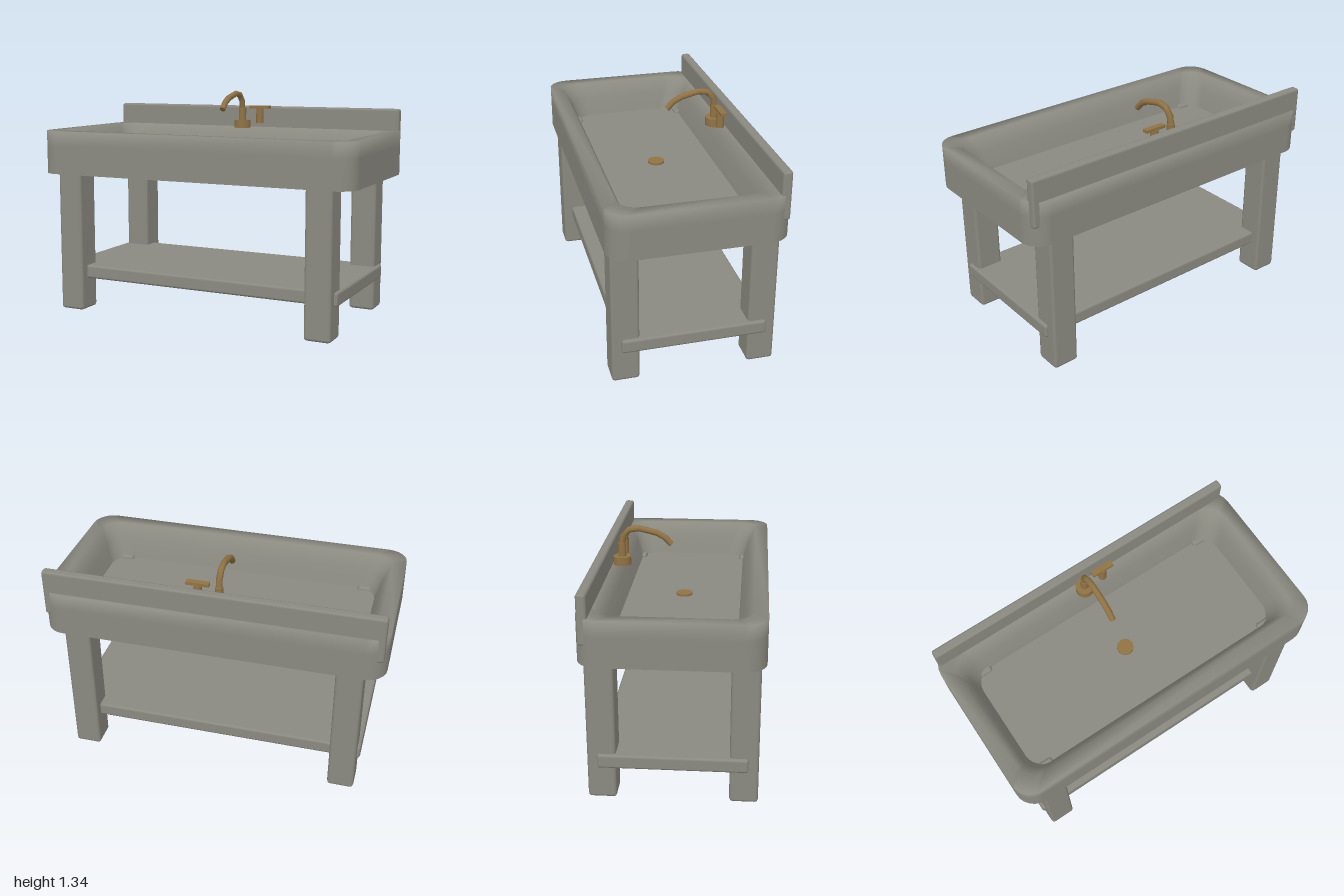
import * as THREE from 'three';
import { RoundedBoxGeometry } from 'three/addons/geometries/RoundedBoxGeometry.js';

const stone = new THREE.MeshStandardMaterial({ color: 0x8b8a81 });
const brass = new THREE.MeshStandardMaterial({ color: 0x907345 });

function add(parent, name, geometry, material, x = 0, y = 0, z = 0) {
  const mesh = new THREE.Mesh(geometry, material);
  mesh.name = name;
  mesh.position.set(x, y, z);
  parent.add(mesh);
  return mesh;
}

// Rounded rectangle outline as plan points, counterclockwise from above
function outline(inset, radius, steps = 6) {
  const points = [];
  const cx = 1 - inset - radius, cz = 0.5 - inset - radius;
  const corners = [[1, 1], [-1, 1], [-1, -1], [1, -1]];
  corners.forEach(([sx, sy], q) => {
    for (let i = 0; i <= steps; i++) {
      const a = (q + i / steps) * Math.PI / 2;
      points.push(new THREE.Vector2(sx * cx + radius * Math.cos(a), sy * cz + radius * Math.sin(a)));
    }
  });
  return points;
}

// Smooth skin through stacked outlines: [inset, height, corner radius]
function loft(profile) {
  const positions = [], indices = [];
  const n = outline(0, 0.1).length;
  profile.forEach(([inset, y, radius], i) => {
    outline(inset, radius).forEach((p, j) => {
      positions.push(p.x, y, -p.y);
      if (i === profile.length - 1) return;
      const a = i * n + j, b = i * n + (j + 1) % n;
      indices.push(a, b, b + n, a, b + n, a + n);
    });
  });
  const geometry = new THREE.BufferGeometry();
  geometry.setAttribute('position', new THREE.Float32BufferAttribute(positions, 3));
  geometry.setIndex(indices);
  geometry.computeVertexNormals();
  return geometry;
}

function plate(inset, radius, faceUp) {
  const geometry = new THREE.ShapeGeometry(new THREE.Shape(outline(inset, radius)));
  return geometry.rotateX(faceUp ? -Math.PI / 2 : Math.PI / 2);
}

function createBasin() {
  const basin = new THREE.Group();
  basin.name = 'basin';
  add(basin, 'basinWall', loft([
    [0, 0.84, 0.12],
    [0, 1.01, 0.12],
    [0, 1.10, 0.12],
    [0.08, 1.10, 0.11],
    [0.125, 1.01, 0.11],
    [0.16, 0.90, 0.11],
  ]), stone);
  add(basin, 'basinFloor', plate(0.16, 0.11, true), stone, 0, 0.90, 0);
  add(basin, 'basinUnderside', plate(0, 0.12, false), stone, 0, 0.84, 0);
  add(basin, 'drain', new THREE.CylinderGeometry(0.05, 0.05, 0.02, 12), brass, 0, 0.903, 0);
  return basin;
}

function createFaucet() {
  const faucet = new THREE.Group();
  faucet.name = 'faucet';
  faucet.position.set(-0.035, 0, -0.37);
  add(faucet, 'faucetBase', new THREE.CylinderGeometry(0.053, 0.053, 0.05, 16), brass, 0, 1.121, 0);
  add(faucet, 'faucetBody', new THREE.CylinderGeometry(0.024, 0.024, 0.13, 12), brass, 0, 1.16, 0);

  // Curved spout with a closed outlet
  const path = new THREE.CatmullRomCurve3([
    [1.215, 0], [1.29, 0.018], [1.317, 0.085], [1.302, 0.165], [1.278, 0.24], [1.224, 0.295],
  ].map(([y, z]) => new THREE.Vector3(0, y, z)));
  add(faucet, 'spout', new THREE.TubeGeometry(path, 7, 0.019, 8), brass);
  const end = path.getPointAt(1);
  const outlet = add(faucet, 'spoutOutlet', new THREE.CircleGeometry(0.019, 8), brass, end.x, end.y, end.z);
  outlet.quaternion.setFromUnitVectors(new THREE.Vector3(0, 0, 1), path.getTangentAt(1));
  return faucet;
}

function createHandle() {
  const handle = new THREE.Group();
  handle.name = 'tapHandle';
  handle.position.set(0.088, 0, -0.37);
  add(handle, 'handlePost', new THREE.CylinderGeometry(0.024, 0.024, 0.095, 12), brass, 0, 1.176, 0);
  add(handle, 'handleBar', new THREE.BoxGeometry(0.135, 0.018, 0.036), brass, 0, 1.23, 0);
  return handle;
}

export function createModel() {
  const sink = new THREE.Group();
  sink.name = 'utilitySink';
  sink.add(createBasin(), createFaucet(), createHandle());

  // Backsplash and lower shelf
  add(sink, 'backsplash', new RoundedBoxGeometry(1.962, 0.282, 0.056, 1, 0.015), stone, 0, 1.092, -0.454);
  add(sink, 'shelf', new RoundedBoxGeometry(1.802, 0.082, 0.834, 1, 0.015), stone, 0, 0.232, 0);

  // Four legs, tops just breaking the basin floor
  for (const sx of [-1, 1]) {
    for (const sz of [-1, 1]) {
      add(sink, 'leg', new RoundedBoxGeometry(0.158, 0.92, 0.16, 1, 0.018), stone,
        sx * 0.803, 0.458, sz * 0.393);
    }
  }
  return sink;
}
